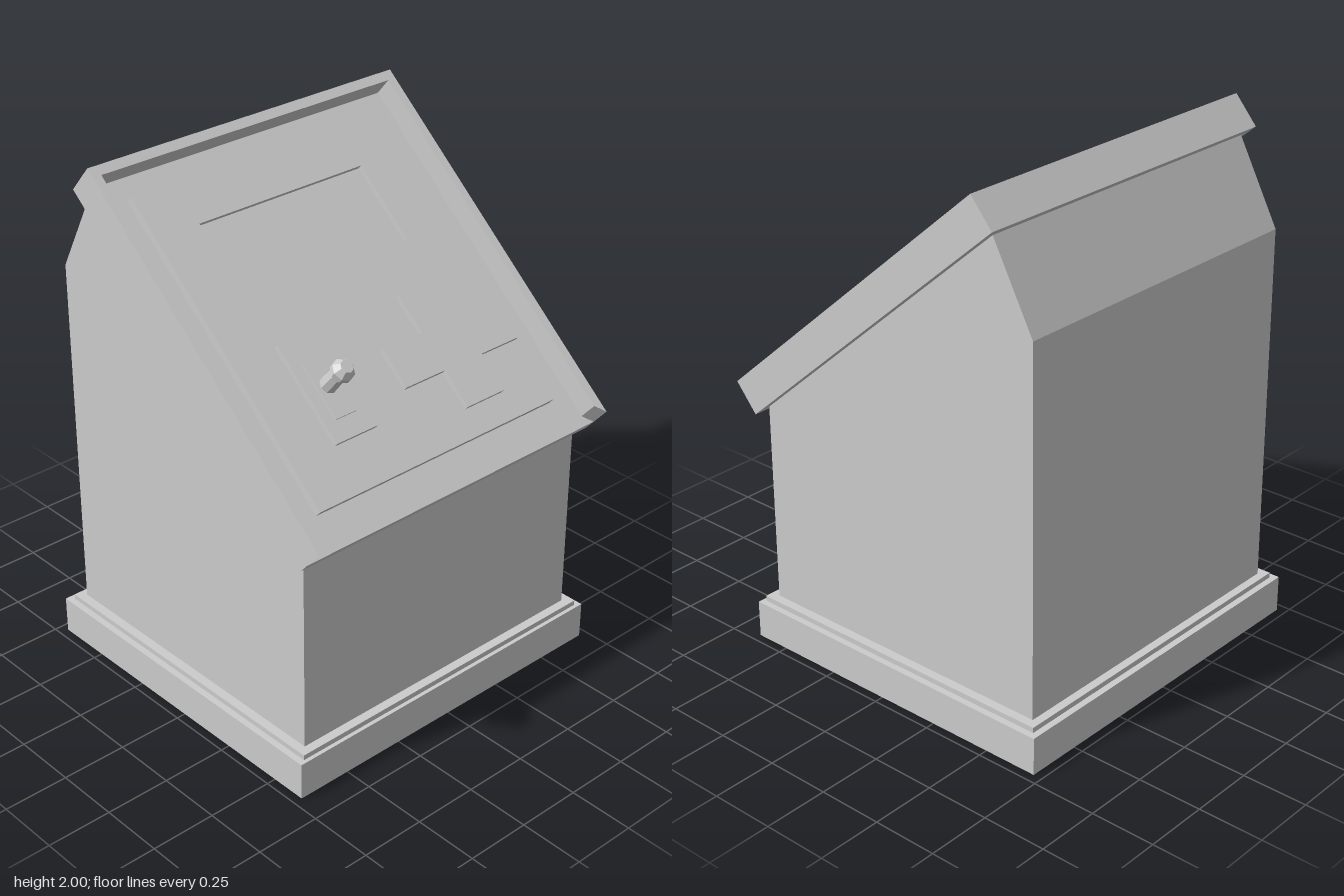
import * as THREE from 'three';

const material = new THREE.MeshStandardMaterial({ color: 0xcccccc, flatShading: true });

function add(parent, name, geometry) {
  const mesh = new THREE.Mesh(geometry, material);
  mesh.name = name;
  parent.add(mesh);
  return mesh;
}

// Box given by its minimum and maximum corners
function block(parent, name, [x0, y0, z0], [x1, y1, z1]) {
  const mesh = add(parent, name, new THREE.BoxGeometry(x1 - x0, y1 - y0, z1 - z0));
  mesh.position.set((x0 + x1) / 2, (y0 + y1) / 2, (z0 + z1) / 2);
}

const toPoints = (list) => list.map(([x, y]) => new THREE.Vector2(x, y));

function extrude(points, depth, holes = []) {
  const shape = new THREE.Shape(toPoints(points));
  for (const hole of holes) shape.holes.push(new THREE.Path(toPoints(hole)));
  return new THREE.ExtrudeGeometry(shape, { depth, bevelEnabled: false });
}

const rect = (x0, y0, x1, y1) => [[x0, y0], [x1, y0], [x1, y1], [x0, y1]];

export function createModel() {
  const model = new THREE.Group();
  model.name = 'console';

  // Stepped plinth
  block(model, 'base', [-0.715, 0, -0.715], [0.715, 0.145, 0.64]);
  block(model, 'baseStep', [-0.69, 0.145, -0.69], [0.69, 0.165, 0.625]);

  // Cabinet: side profile (z, y) swept across x
  const profile = [[0.59, 0.165], [0.59, 0.95], [-0.485, 1.874], [-0.653, 1.56], [-0.658, 0.165]];
  const body = extrude(profile, 1.31);
  body.rotateY(-Math.PI / 2).translate(0.655, 0, 0);
  add(model, 'cabinet', body);

  // Sloped panel: local y runs up the slope, local z points out of it
  const panel = new THREE.Group();
  panel.name = 'slopedPanel';
  panel.position.set(0, 0.92, 0.62);
  panel.rotation.x = -0.861;
  model.add(panel);

  const W = 0.695, w = 0.66, L = 1.503, floor = 0.051;
  block(panel, 'panelBoard', [-W, 0, 0], [W, L, floor]);

  // Raised rim, open along the lower edge, with mitred ends
  const rim = extrude([[-W, 0], [-w, 0.038], [-w, L - 0.038], [w, L - 0.038],
    [w, 0.038], [W, 0], [W, L], [-W, L]], 0.086);
  add(panel, 'rim', rim).position.z = floor;

  // Control plate with a recessed screen
  const screen = [-0.377, 0.885, 0.375, 1.208];
  const plate = extrude(rect(-0.565, 0.133, 0.562, 1.378), 0.03, [rect(...screen)]);
  add(panel, 'controlPlate', plate).position.z = floor;
  block(panel, 'screen', [screen[0], screen[1], floor], [screen[2], screen[3], 0.062]);

  // Cross-shaped pad
  const cross = extrude([[0.187, 0.237], [0.372, 0.237], [0.372, 0.389], [0.56, 0.389],
    [0.56, 0.546], [0.372, 0.546], [0.372, 0.702], [0.187, 0.702],
    [0.187, 0.546], [0, 0.546], [0, 0.389], [0.187, 0.389]], 0.02);
  add(panel, 'crossPad', cross).position.z = 0.081;

  // Lever on its stepped mount
  block(panel, 'leverMount', [-0.377, 0.312, 0.081], [-0.19, 0.703, 0.101]);
  block(panel, 'leverSlot', [-0.333, 0.388, 0.101], [-0.238, 0.61, 0.109]);
  const lever = new THREE.LatheGeometry(toPoints([[0.034, 0.1], [0.03, 0.19], [0.043, 0.205],
    [0.043, 0.225], [0.025, 0.25], [0, 0.25]]), 8);
  lever.rotateX(Math.PI / 2);
  add(panel, 'lever', lever).position.set(-0.286, 0.507, 0);

  return model;
}
